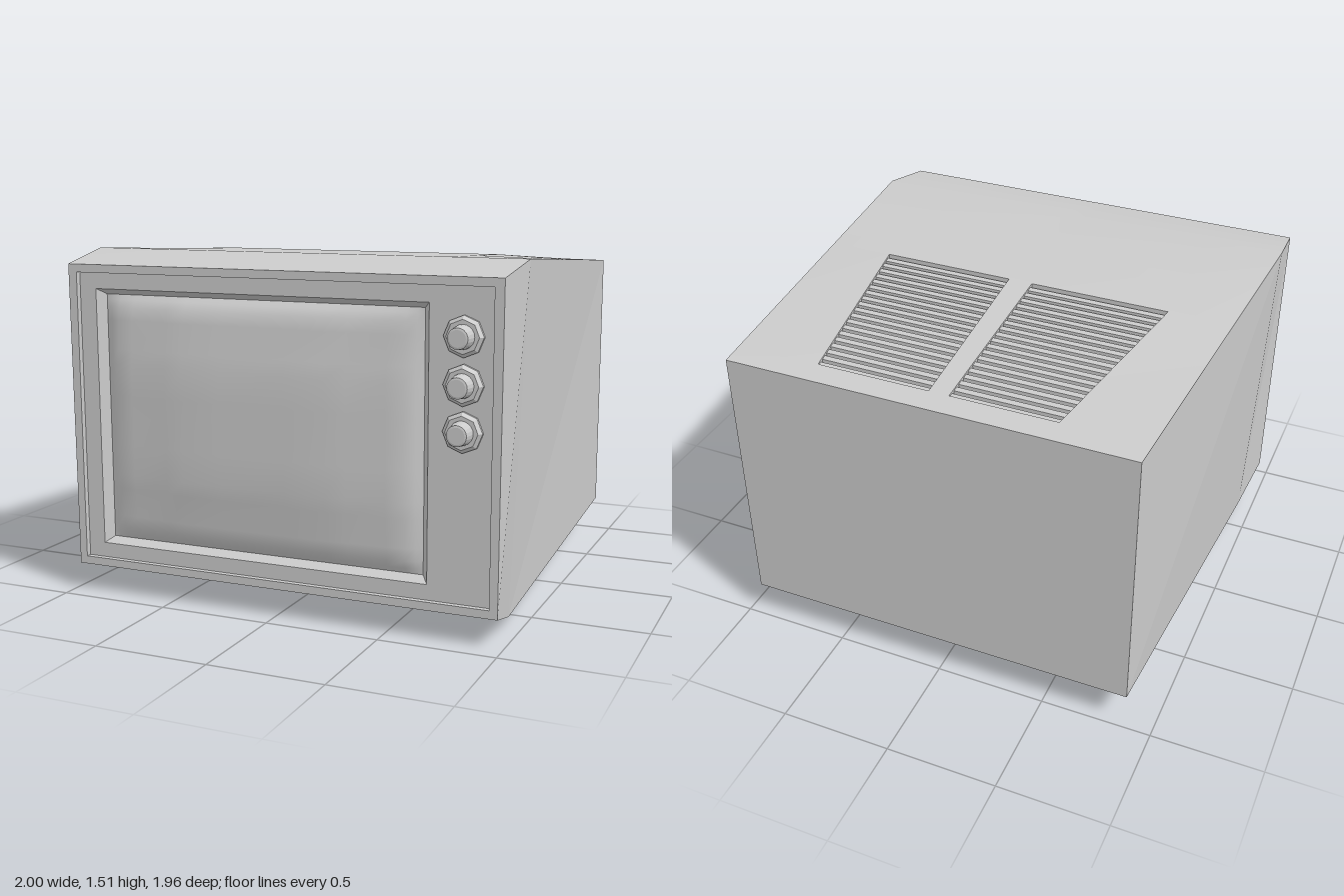
import * as THREE from 'three';

const mat = new THREE.MeshStandardMaterial({ color: 0xcccccc });
const lerp = THREE.MathUtils.lerp;

function mesh(name, geo) {
  const m = new THREE.Mesh(geo, mat);
  m.name = name;
  return m;
}

// Sheet through rows of points; optional cells can be left out as holes
function sheet(rows, smooth = true, skip = () => false) {
  const n = rows[0].length, idx = [];
  for (let j = 0; j < rows.length - 1; j++)
    for (let i = 0; i < n - 1; i++) {
      if (skip(i, j)) continue;
      const a = j * n + i, d = a + n;
      idx.push(a, a + 1, d + 1, a, d + 1, d);
    }
  let geo = new THREE.BufferGeometry();
  geo.setAttribute('position', new THREE.Float32BufferAttribute(rows.flat(2), 3));
  geo.setIndex(idx);
  if (!smooth) geo = geo.toNonIndexed();
  geo.computeVertexNormals();
  return geo;
}

// Cabinet outline as a function of depth
const FRONT = 0.915, BROW = 0.64, BACK = -0.98;
const backness = z => (BROW - z) / (BROW - BACK);
const browness = z => (z - BROW) / (FRONT - BROW);
const leftX = z => z > BROW ? lerp(1, 0.98, browness(z)) : lerp(1, 0.93, backness(z));
const rightX = z => z > BROW ? lerp(-1, -0.98, browness(z)) : lerp(-1, -0.88, backness(z));
const edgeY = z => z > BROW ? lerp(1.515, 1.46, browness(z)) : lerp(1.515, 1.41, backness(z));
function topY(x, z) {
  const crown = z > 0 ? Math.max(0, 1 - z / BROW) : 1 - z / BACK;
  const half = x > 0 ? leftX(z) : -rightX(z);
  return edgeY(z) + 0.015 * crown * Math.min(1, (1 - Math.abs(x) / half) / 0.28);
}

// Vent outlines: side edges taper toward the back
const V0 = -0.02, V1 = -0.87;
const ventEdges = z => {
  const t = THREE.MathUtils.clamp((V0 - z) / (V0 - V1), 0, 1);
  return [lerp(-0.67, -0.51, t), -0.04, lerp(0.07, 0.05, t), lerp(0.67, 0.555, t)];
};

function roof() {
  const zs = [FRONT, BROW, 0.3, 0, V0, -0.3, -0.6, V1, BACK];
  const rows = zs.map(z =>
    [rightX(z), ...ventEdges(z), leftX(z)].map(x => [x, topY(x, z), z]));
  return mesh('roof', sheet(rows, true, (i, j) => (i === 1 || i === 3) && j >= 4 && j < 7));
}

// Sunken louvre panel with square grooves between slats
function vent(name, side) {
  const slats = 19, pitch = (V0 - V1) / slats, profile = [[V0, 0]];
  for (let k = 0; k < slats; k++) {
    const z = V0 - k * pitch;
    profile.push([z, 0.04], [z - pitch * 0.4, 0.04], [z - pitch * 0.4, 0.008], [z - pitch, 0.008]);
  }
  profile.push([V1, 0]);
  const rows = profile.map(([z, d]) => {
    const e = ventEdges(z), a = e[side * 2], b = e[side * 2 + 1];
    return [[a, 0], [a, d], [b, d], [b, 0]].map(([x, dy]) => [x, topY(x, z) - dy, z]);
  });
  return mesh(name, sheet(rows, false));
}

// Side wall, split at the brow
function sideWall(name, s) {
  const X = s > 0 ? leftX : rightX;
  const low = [[s * 0.975, 0.12, FRONT], [s * 0.94, 0.04, BROW], [X(BACK), 0.165, BACK]];
  const high = [FRONT, BROW, BACK].map(z => [X(z), edgeY(z), z]);
  return mesh(name, sheet(s > 0 ? [low, high] : [high, low], false));
}

function backWall() {
  const l = leftX(BACK), r = rightX(BACK);
  return mesh('backWall', sheet([
    [[l, 0.165, BACK], [r, 0.165, BACK]],
    [[l, 1.41, BACK], [r, 1.41, BACK]]], false));
}

// Underside: bevelled rim around a sloping base plate
function underside() {
  const g = new THREE.Group();
  g.name = 'underside';
  const l = leftX(BACK), r = rightX(BACK);
  const plate = [[-0.83, 0, 0.5], [0.83, 0, 0.5], [0.8, 0.095, -0.8], [-0.8, 0.095, -0.8]];
  const rim = [[-0.94, 0.04, BROW], [0.94, 0.04, BROW], [l, 0.165, BACK], [r, 0.165, BACK]];
  g.add(mesh('basePlate', sheet([[plate[3], plate[2]], [plate[0], plate[1]]], false)));
  g.add(mesh('baseBevel', sheet([[...plate, plate[0]], [...rim, rim[0]]], false)));
  g.add(mesh('chin', sheet([
    [rim[0], rim[1]], [[-0.975, 0.12, FRONT], [0.975, 0.12, FRONT]]], false)));
  return g;
}

// Front frame: nested rectangles from cabinet edge to screen
function bezel() {
  const rect = (x0, x1, y0, y1, z) =>
    [[x0, y0, z], [x1, y0, z], [x1, y1, z], [x0, y1, z], [x0, y0, z]];
  const outer = [[-0.975, 0.12, FRONT], [0.975, 0.12, FRONT], [0.98, 1.46, FRONT],
    [-0.98, 1.46, FRONT], [-0.975, 0.12, FRONT]];
  return mesh('bezel', sheet([
    outer,
    rect(-0.94, 0.94, 0.155, 1.425, FRONT),
    rect(-0.94, 0.94, 0.155, 1.425, 0.89),
    rect(-0.86, 0.67, 0.22, 1.355, 0.89),
    rect(-0.83, 0.64, 0.245, 1.33, 0.85)], false));
}

// Pillow-shaped glass
function screen() {
  const half = [[1, 0], [0.96, 0.25], [0.9, 0.55], [0.8, 0.68], [0.57, 0.83], [0.45, 1], [0.2, 1]];
  const prof = [...half.map(([u, h]) => [-u, h]), ...half.slice().reverse()];
  const rows = prof.map(([v, hv]) => prof.map(([u, hu]) =>
    [-0.095 + u * 0.735, 0.7875 + v * 0.5425, 0.85 + 0.08 * hu * hv]));
  return mesh('screen', sheet(rows));
}

// Octagonal collar with a tapered round cap
function knob(y) {
  const g = new THREE.Group();
  g.name = 'knob';
  const lathe = (pts, n) => {
    const geo = new THREE.LatheGeometry(pts.map(p => new THREE.Vector2(...p)), n).toNonIndexed();
    geo.computeVertexNormals();
    return geo.rotateX(Math.PI / 2);
  };
  g.add(mesh('knobCollar', lathe([[0.083, 0], [0.083, 0.012], [0.068, 0.025], [0.045, 0.025]], 8)));
  g.add(mesh('knobCap', lathe([[0.05, 0.01], [0.048, 0.04], [0.042, 0.085], [0.034, 0.087], [0, 0.087]], 20)));
  g.position.set(0.815, y, 0.89);
  return g;
}

export function createModel() {
  const model = new THREE.Group();
  model.name = 'television';
  model.add(roof(), vent('rightVent', 0), vent('leftVent', 1),
    sideWall('leftWall', 1), sideWall('rightWall', -1), backWall(), underside(),
    bezel(), screen());
  for (const y of [1.23, 1.04, 0.855]) model.add(knob(y));
  return model;
}
